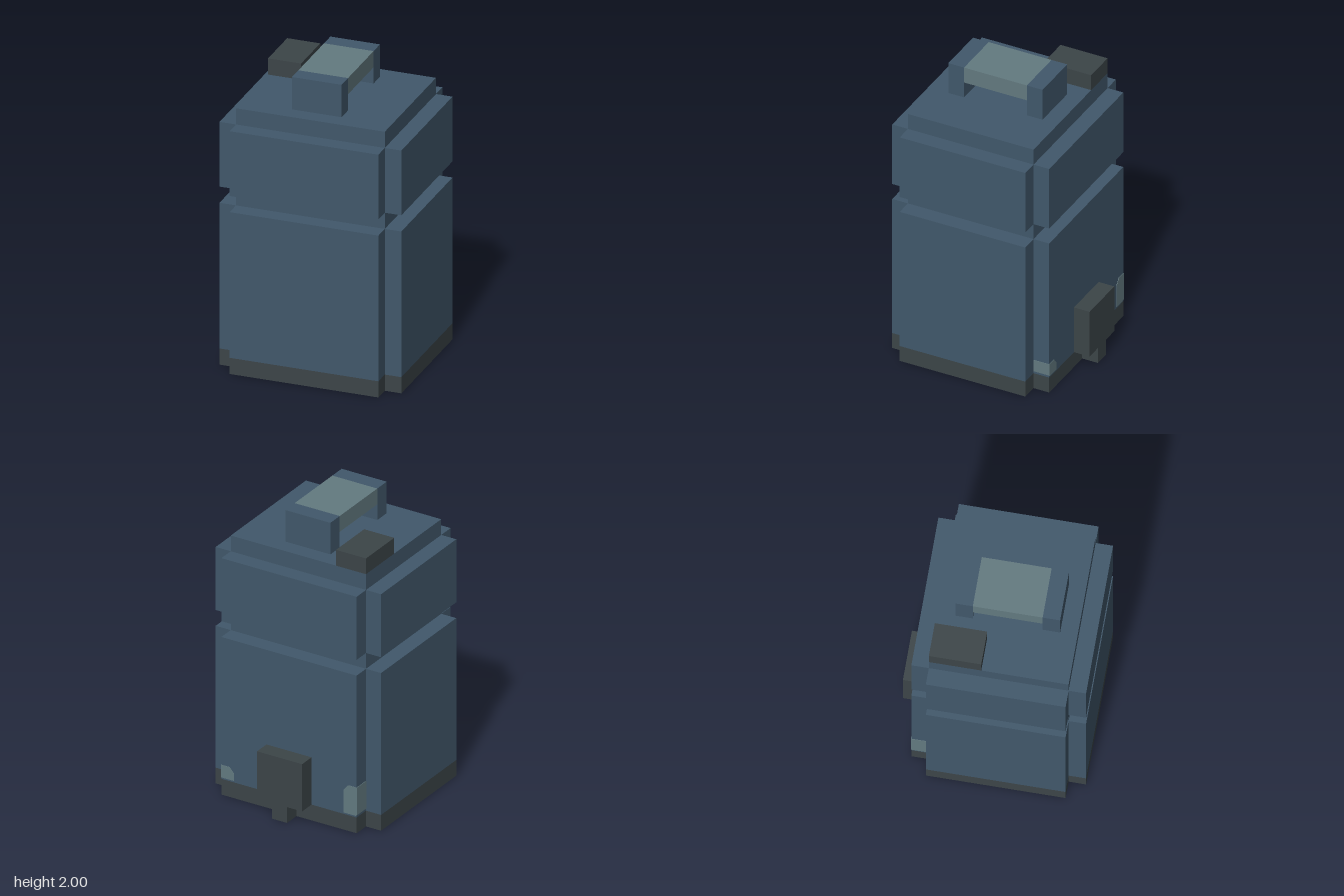
import * as THREE from 'three';

const U = 1 / 9; // block unit

const blue = new THREE.MeshStandardMaterial({ name: 'slate blue', color: 0x41586b });
const dark = new THREE.MeshStandardMaterial({ name: 'dark grey', color: 0x3c4548 });
const pale = new THREE.MeshStandardMaterial({ name: 'pale grey green', color: 0x637a80 });

export function createModel() {
  const model = new THREE.Group();
  model.name = 'canister';

  // Box from its limits, in block units
  const box = (name, material, [x0, x1], [y0, y1], [z0, z1]) => {
    const geometry = new THREE.BoxGeometry((x1 - x0) * U, (y1 - y0) * U, (z1 - z0) * U);
    const mesh = new THREE.Mesh(geometry, material);
    mesh.position.set((x0 + x1) / 2 * U, (y0 + y1) / 2 * U, (z0 + z1) / 2 * U);
    mesh.name = name;
    model.add(mesh);
  };

  // Core with dark foot
  box('coreFoot', dark, [-4.5, 4.5], [0, 1], [-3.5, 4.5]);
  box('core', blue, [-4.5, 4.5], [1, 16], [-3.5, 4.5]);

  // Raised panels on all four sides, in three tiers
  const sides = {
    front: [[-4.5, 4.5], [4.5, 5.5]],
    back: [[-4.5, 4.5], [-4.5, -3.5]],
    left: [[4.5, 5.5], [-3.5, 4.5]],
    right: [[-5.5, -4.5], [-3.5, 4.5]],
  };
  for (const [side, [x, z]] of Object.entries(sides)) {
    box(side + 'Foot', dark, x, [0, 1], z);
    box(side + 'LowerPanel', blue, x, [1, 10], z);
    box(side + 'UpperPanel', blue, x, [11, 15], z);
  }

  // Carrying handle
  box('handleFrontPost', blue, [-1.5, 1.5], [16, 18], [2.5, 3.5]);
  box('handleBackPost', blue, [-1.5, 1.5], [16, 18], [-2.5, -1.5]);
  box('handleGrip', pale, [-1.5, 1.5], [17, 18], [-1.5, 2.5]);

  // Cap on the lid, outlet and its stem on the back
  box('cap', dark, [-4.5, -2.5], [16, 17], [-3.5, -0.5]);
  box('outlet', dark, [-1.5, 1.5], [1, 4], [-5.5, -4.5]);
  box('outletStem', dark, [-0.5, 0.5], [0, 1], [-5.5, -4.5]);

  // Worn patches wrapping the lower back corners
  for (const [s, top] of [[1, 1.9], [-1, 2.9]]) {
    const shape = new THREE.Shape([
      [0, 1.1], [0.85, 1.1], [0.85, top - 0.35], [0.55, top], [0, top],
    ].map(([x, y]) => new THREE.Vector2(x * U, y * U)));
    const plate = new THREE.ExtrudeGeometry(shape, { depth: 0.003, bevelEnabled: false });
    const patch = new THREE.Mesh(plate, pale);
    patch.name = 'backPatch';
    if (s > 0) {
      patch.rotation.y = Math.PI;
      patch.position.set(4.5 * U, 0, -4.5 * U);
    } else {
      patch.position.set(-4.5 * U, 0, -4.5 * U - 0.003);
    }
    model.add(patch);
    const thin = s > 0 ? [4.5, 4.527] : [-4.527, -4.5];
    box('sidePatch', pale, thin, [1.15, top], [-4.5, -3.5]);
  }

  return model;
}
